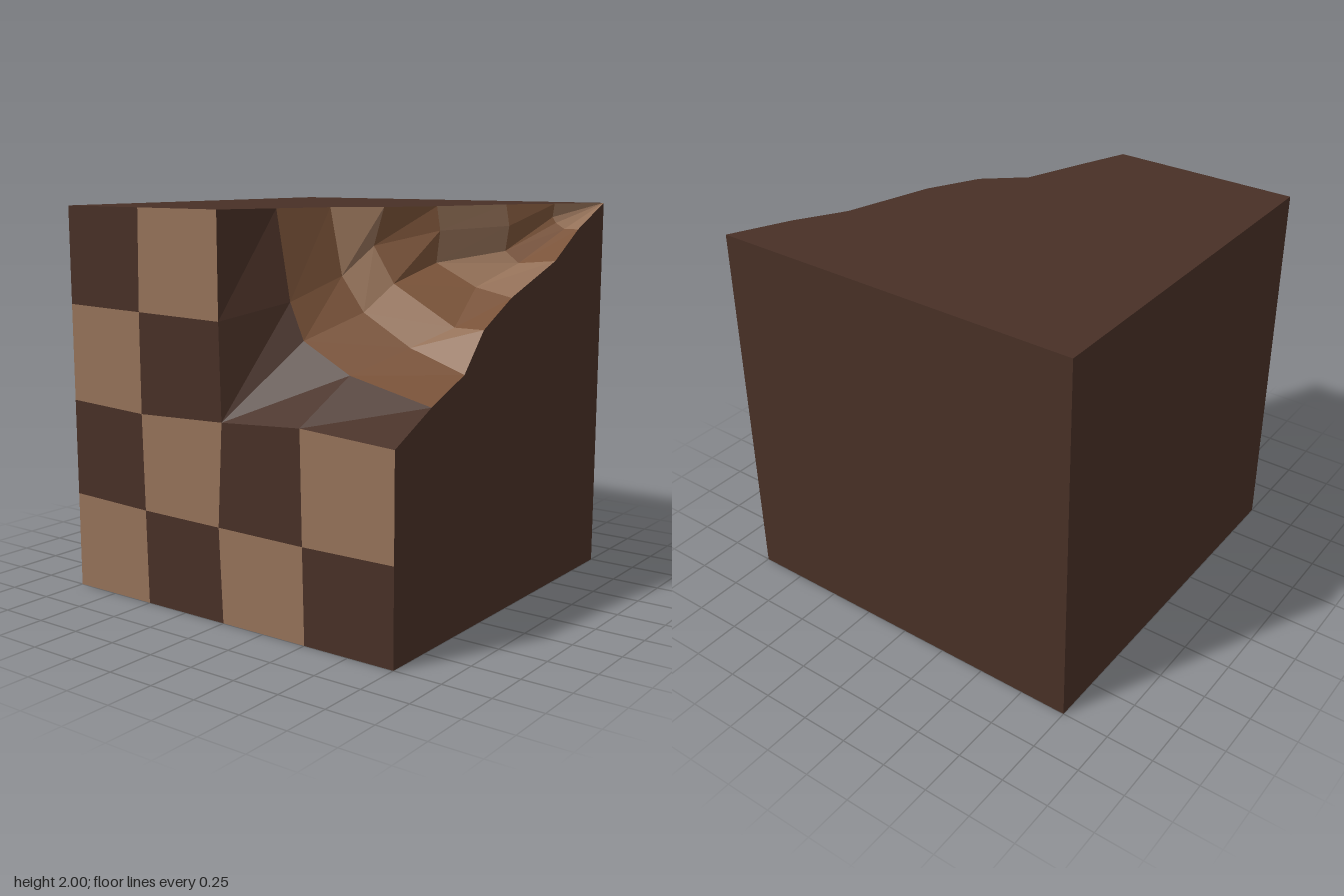
import * as THREE from 'three';

// Flat-shaded mesh from convex or star-shaped polygons, each fanned from its first corner
function facets(name, polygons, material) {
  const positions = [];
  for (const p of polygons) {
    for (let i = 1; i < p.length - 1; i++) positions.push(...p[0], ...p[i], ...p[i + 1]);
  }
  const geometry = new THREE.BufferGeometry();
  geometry.setAttribute('position', new THREE.Float32BufferAttribute(positions, 3));
  geometry.computeVertexNormals();
  const mesh = new THREE.Mesh(geometry, material);
  mesh.name = name;
  return mesh;
}

function paint(name, color) {
  const material = new THREE.MeshStandardMaterial({ color });
  material.name = name;
  return material;
}

export function createModel() {
  const dark = paint('darkBrown', 0x483026);
  const light = paint('lightBrown', 0x957259);
  const mid = paint('midBrown', 0x795238);
  const group = new THREE.Group();
  group.name = 'carvedBlock';

  // Cross-sections of the hollow, from the top edge round to the right edge
  const rings = [
    [1, [[0, 2], [0, 1.48], [0.01, 1], [0.48, 1.03], [1, 1]]],
    [0.71, [[0.12, 2], [0.2, 1.56], [0.28, 1.38], [0.55, 1.24], [1, 1.14]]],
    [0.43, [[0.23, 2], [0.24, 1.84], [0.3, 1.67], [0.43, 1.5], [0.7, 1.35], [1, 1.25]]],
    [0.26, [[0.43, 2], [0.37, 1.81], [0.49, 1.63], [0.84, 1.44], [1, 1.44]]],
    [0, [[0.57, 2], [0.59, 1.88], [0.57, 1.72], [0.8, 1.61], [1, 1.57]]],
    [-0.45, [[0.71, 2], [0.73, 1.89], [0.71, 1.76], [0.79, 1.7], [1, 1.72]]],
    [-0.7, [[0.86, 2], [0.85, 1.93], [0.87, 1.9], [0.92, 1.87], [1, 1.87]]],
    [-1, [[1, 2], [1, 2], [1, 2], [1, 2], [1, 2]]],
  ].map(([z, points]) => points.map(([x, y]) => [x, y, z]));
  rings[2].splice(1, 1); // keep five points per section

  // Stepped bands of the hollow
  const bandPaint = [dark, mid, light, mid, light, mid, light];
  bandPaint.forEach((material, k) => {
    const faces = [];
    for (let i = 0; i < 4; i++) {
      const a = rings[k][i], b = rings[k][i + 1], c = rings[k + 1][i + 1], d = rings[k + 1][i];
      faces.push(i < 2 ? [b, c, d, a] : [a, b, c, d]);
    }
    group.add(facets('hollowBand' + (k + 1), faces, material));
  });

  // Checkered front, rows of corners from the bottom up
  const rows = [
    [[-1, 0], [-0.5, 0], [0, 0], [0.5, 0], [1, 0]],
    [[-1, 0.5], [-0.51, 0.485], [-0.02, 0.48], [0.49, 0.475], [1, 0.48]],
    [[-1, 1], [-0.52, 0.98], [0.01, 1], [0.48, 1.03], [1, 1]],
    [[-1, 1.5], [-0.52, 1.49], [0, 1.48]],
    [[-1, 2], [-0.51, 2], [0, 2]],
  ].map((row) => row.map(([x, y]) => [x, y, 1]));
  const checks = [[], []];
  for (let j = 0; j < 4; j++) {
    for (let i = 0; i < rows[j + 1].length - 1; i++) {
      checks[(i + j) % 2].push([rows[j][i], rows[j][i + 1], rows[j + 1][i + 1], rows[j + 1][i]]);
    }
  }
  group.add(facets('lightChecks', checks[0], light), facets('darkChecks', checks[1], dark));

  // Plain outer walls; the top and right ones follow the rim of the hollow
  const topRim = rings.map((r) => r[0]);
  const rightRim = rings.map((r) => r[4]).reverse();
  group.add(
    facets('topFace', [[[-1, 2, -1], [-1, 2, 1], ...topRim]], dark),
    facets('rightEdgeFace', [[[1, 0, -1], ...rightRim, [1, 0, 1]]], dark),
    facets('leftEdgeFace', [[[-1, 0, -1], [-1, 0, 1], [-1, 2, 1], [-1, 2, -1]]], dark),
    facets('backFace', [[[1, 0, -1], [-1, 0, -1], [-1, 2, -1], [1, 2, -1]]], dark),
    facets('bottomFace', [[[-1, 0, -1], [1, 0, -1], [1, 0, 1], [-1, 0, 1]]], dark),
  );
  return group;
}
